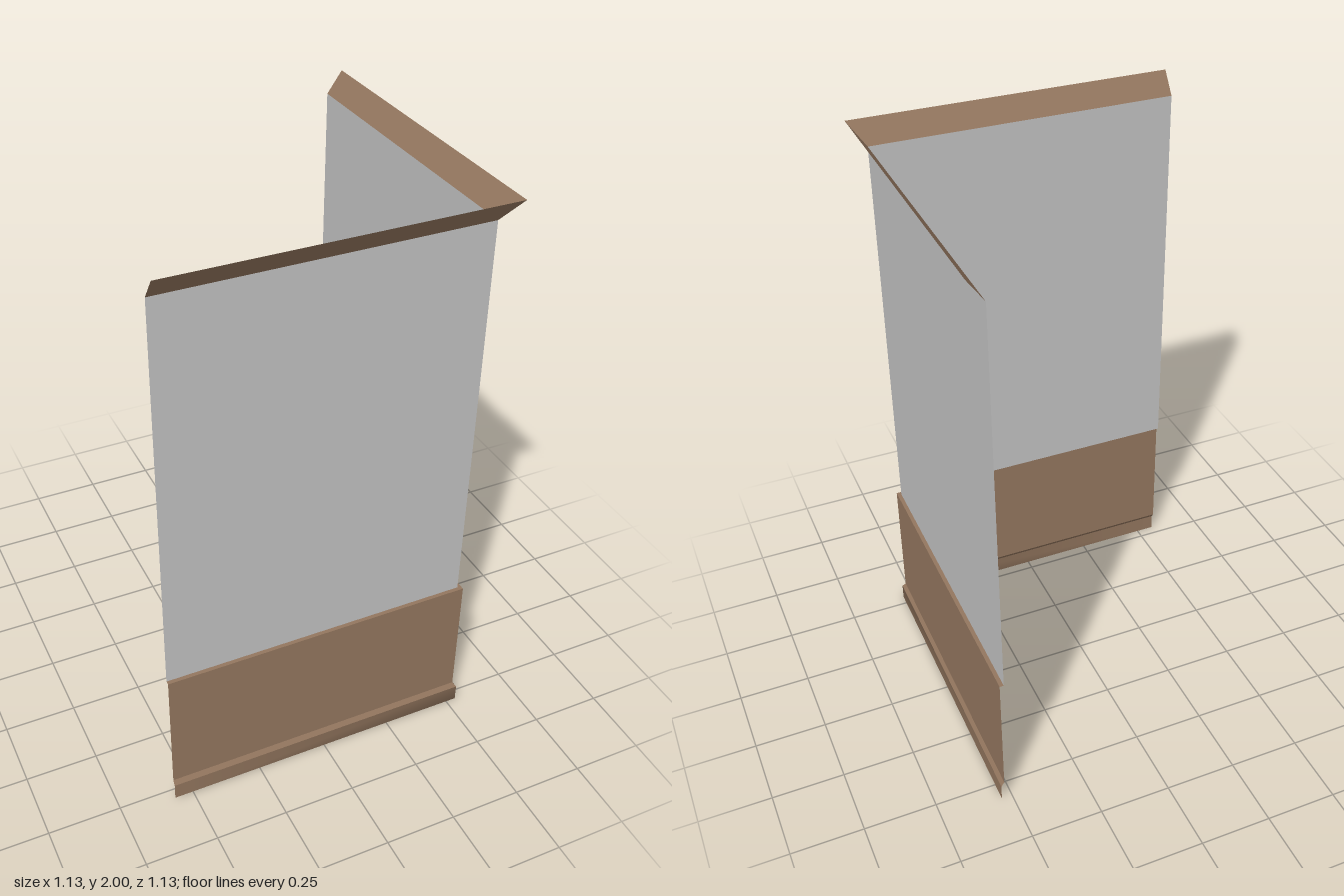
import * as THREE from 'three';

const END = 0.565; // free ends of both walls

// Sweeps a profile of [offset, height] points along the front wall, round the mitred corner and along the side wall.
function sweep(profile, smoothCorner) {
  const positions = [];
  const index = [];
  for (const [d, y] of profile) positions.push(-END, y, d, d, y, d, d, y, -END);
  for (let row = 0; row < profile.length - 1; row++) {
    for (let col = 0; col < 2; col++) {
      const a = row * 3 + col;
      index.push(a, a + 1, a + 4, a, a + 4, a + 3);
    }
  }
  let geometry = new THREE.BufferGeometry();
  geometry.setAttribute('position', new THREE.Float32BufferAttribute(positions, 3));
  geometry.setIndex(index);
  if (!smoothCorner) geometry = geometry.toNonIndexed();
  geometry.computeVertexNormals();
  return geometry;
}

export function createModel() {
  const wood = new THREE.MeshStandardMaterial({ color: 0x94775f, side: THREE.DoubleSide });
  wood.name = 'brown wood';
  const plaster = new THREE.MeshStandardMaterial({ color: 0xc3c3c3, side: THREE.DoubleSide });
  plaster.name = 'grey plaster';

  const model = new THREE.Group();
  model.name = 'wallCorner';
  const add = (name, material, profile, smoothCorner = false) => {
    const mesh = new THREE.Mesh(sweep(profile, smoothCorner), material);
    mesh.name = name;
    model.add(mesh);
  };

  // Skirting board, softly shaded round the corner, with its bevelled top
  add('skirting', wood, [[0.537, 0], [0.537, 0.06]], true);
  add('skirtingBevel', wood, [[0.537, 0.06], [0.526, 0.077]]);
  // Wooden panelling with a narrow ledge on top
  add('wainscot', wood, [[0.526, 0.077], [0.526, 0.53], [0.512, 0.53]]);
  // Plain upper wall
  add('upperWall', plaster, [[0.512, 0.53], [0.512, 1.925]]);
  // Outward sloping crown moulding
  add('crownMoulding', wood, [[0.512, 1.925], [0.565, 2]]);

  return model;
}
